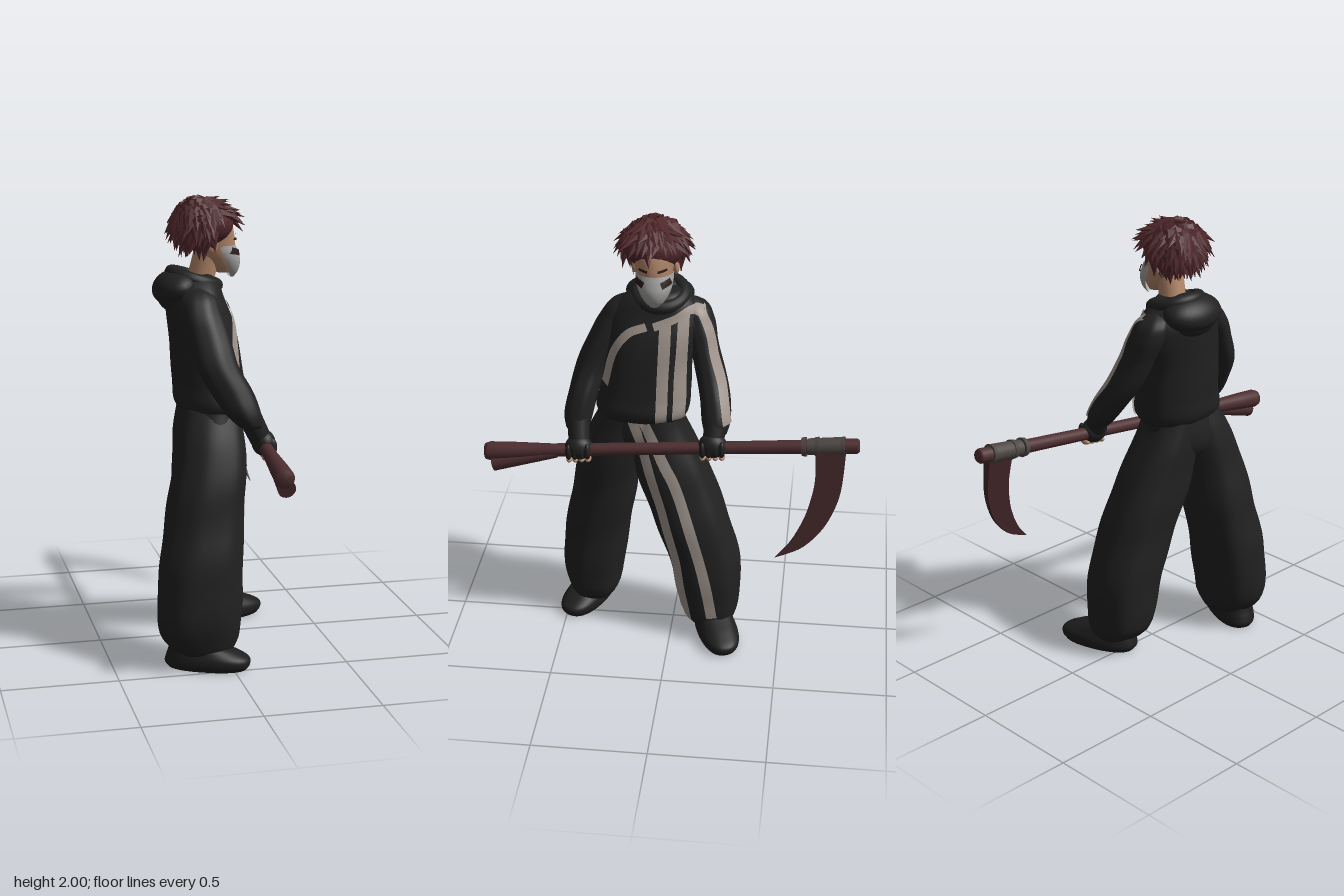
import * as THREE from 'three';

const mat = (name, color, side = THREE.FrontSide, flatShading = false) =>
  Object.assign(new THREE.MeshStandardMaterial({ color, side, flatShading }), { name });
const M = {
  cloth: mat('black cloth', 0x212122),
  shoe: mat('shoe black', 0x1e1e1f),
  stripe: mat('pale stripe', 0xa0958d, THREE.DoubleSide),
  hair: mat('dark red hair', 0x50282b, THREE.FrontSide, true),
  skin: mat('skin', 0xb3876a),
  mask: mat('mask grey', 0xa3a2a0, THREE.DoubleSide),
  ink: mat('dark marking', 0x2a1c1c, THREE.DoubleSide),
  wood: mat('red wood', 0x4e2e30),
  blade: mat('blade red', 0x46282a),
  metal: mat('fitting', 0x4d4643),
};
let seed = 7;
const rnd = () => ((seed = (seed * 16807) % 2147483647) / 2147483647);
const V = (x, y, z) => new THREE.Vector3(x, y, z);
const pow = (v, e) => Math.sign(v) * Math.abs(v) ** e;

// Smooth body of horizontal ovals; rows are [y, cx, cz, rx, rz], lowest first.
// An exponent e below 1 makes the ovals squarer.
class Loft {
  constructor(rows, fold = 0, e = 1) {
    this.lo = rows[0][0];
    this.hi = rows[rows.length - 1][0];
    this.fold = fold;
    this.e = e;
    this.curve = new THREE.CubicInterpolant(rows.map(r => r[0]), rows.flatMap(r => r.slice(1)), 4);
  }
  at(y, a, grow = 0) {
    const [cx, cz, rx, rz] = this.curve.evaluate(y);
    const k = 1 + this.fold * Math.sin(a * 4 + y * 13) * Math.sin(a * 3 - y * 9);
    return V(cx + (rx * k + grow) * pow(Math.cos(a), this.e), y, cz + (rz * k + grow) * pow(Math.sin(a), this.e));
  }
  // Point on the front (+x) side at a given height and z, null where it misses
  front(y, z, clamp) {
    const yy = Math.min(this.hi, Math.max(this.lo, y));
    const [, cz, , rz] = this.curve.evaluate(yy);
    const s = (z - cz) / rz;
    if (!clamp && (yy !== y || Math.abs(s) > 0.98)) return null;
    return this.at(yy, Math.asin(pow(Math.max(-0.98, Math.min(0.98, s)), 1 / this.e)), 0.007);
  }
  geometry(arc = Math.PI, n = 48, m = 36) {
    const pos = [], idx = [], full = arc === Math.PI, w = full ? n : n + 1;
    for (let j = 0; j <= m; j++)
      for (let i = 0; i < w; i++)
        pos.push(...this.at(this.lo + (this.hi - this.lo) * j / m, -arc + 2 * arc * i / n).toArray());
    for (let j = 0; j < m; j++)
      for (let i = 0; i < n; i++) {
        const a = j * w + i, b = j * w + (i + 1) % w;
        idx.push(a, a + w, b, a + w, b + w, b);
      }
    if (full) for (const [j, y] of [[0, this.lo], [m, this.hi]]) {
      const [cx, cz] = this.curve.evaluate(y), c = pos.length / 3;
      pos.push(cx, y, cz);
      for (let i = 0; i < n; i++) {
        const a = j * w + i, b = j * w + (i + 1) % w;
        idx.push(c, ...(j ? [b, a] : [a, b]));
      }
    }
    return finish(pos, idx);
  }
}
function finish(pos, idx) {
  const g = new THREE.BufferGeometry();
  g.setAttribute('position', new THREE.Float32BufferAttribute(pos, 3));
  g.setIndex(idx);
  g.computeVertexNormals();
  return g;
}
// Band lying on the front of the given lofts along [y, z] points
function band(lofts, pts, width) {
  const c = new THREE.CatmullRomCurve3(pts.map(p => V(0, p[0], p[1]))), pos = [], idx = [], n = 60, k = 4;
  for (let i = 0; i <= n; i++) {
    const p = c.getPointAt(i / n), t = c.getTangentAt(i / n);
    for (let j = 0; j <= k; j++) {
      const d = width * (j / k - 0.5), y = p.y - t.z * d, z = p.z + t.y * d;
      const hits = lofts.map(l => l.front(y, z)).filter(Boolean).sort((a, b) => b.x - a.x);
      pos.push(...(hits[0] || lofts[0].front(y, z, true)).toArray());
      if (i < n && j < k) {
        const a = i * (k + 1) + j;
        idx.push(a, a + 1, a + k + 1, a + 1, a + k + 2, a + k + 1);
      }
    }
  }
  return finish(pos, idx);
}

export function createModel() {
  const model = new THREE.Group();
  const add = (name, geo, material, parent = model) => {
    const m = new THREE.Mesh(geo, material);
    m.name = name;
    parent.add(m);
    return m;
  };
  const blob = (name, material, p, s) => {
    const m = add(name, new THREE.SphereGeometry(1, 28, 20), material);
    m.position.set(...p);
    m.scale.set(...s);
    return m;
  };
  // Tapered round bar between two points
  const bar = (name, material, a, b, r0, r1) => {
    const m = add(name, new THREE.CylinderGeometry(r1, r0, a.distanceTo(b), 18), material);
    m.position.copy(a).lerp(b, 0.5);
    m.quaternion.setFromUnitVectors(V(0, 1, 0), b.clone().sub(a).normalize());
    return m;
  };

  // Clothes
  const torso = new Loft([[1.08, -.03, .135, .13, .19], [1.11, -.025, .135, .152, .205], [1.2, -.03, .125, .152, .2],
    [1.35, -.045, .11, .145, .195], [1.48, -.065, .09, .135, .205], [1.56, -.08, .08, .12, .195],
    [1.62, -.08, .07, .1, .145], [1.66, -.085, .065, .075, .09]], .02, .9);
  const rightArm = new Loft([[1.05, .09, .41, .05, .052], [1.09, .065, .41, .07, .062], [1.2, .01, .39, .09, .066],
    [1.3, -.04, .36, .09, .07], [1.42, -.07, .305, .09, .075], [1.52, -.09, .255, .085, .075],
    [1.59, -.09, .215, .06, .055], [1.615, -.09, .2, .02, .02]], .04);
  const leftArm = new Loft([[1.08, .13, -.2, .045, .05], [1.12, .11, -.2, .065, .062], [1.2, .06, -.19, .08, .066],
    [1.3, 0, -.165, .085, .065], [1.42, -.05, -.13, .085, .062], [1.52, -.08, -.1, .085, .07],
    [1.59, -.09, -.075, .06, .055], [1.615, -.09, -.06, .02, .02]], .04);
  const rightLeg = new Loft([[.07, -.11, .39, .12, .1], [.12, -.12, .385, .16, .12], [.2, -.13, .385, .178, .137],
    [.4, -.12, .37, .18, .148], [.6, -.1, .335, .17, .148], [.8, -.07, .302, .16, .14],
    [.95, -.05, .265, .148, .13], [1.06, -.04, .23, .13, .11], [1.12, -.03, .21, .12, .1]], .03, .88);
  const leftLeg = new Loft([[.06, .06, -.18, .09, .095], [.1, .04, -.178, .13, .118], [.2, .025, -.173, .15, .14],
    [.4, .02, -.14, .155, .16], [.6, .01, -.073, .155, .165], [.8, -.01, 0, .15, .165],
    [.95, -.025, .05, .14, .14], [1.06, -.03, .085, .13, .125], [1.12, -.03, .1, .125, .12]], .03, .8);
  const hips = new Loft([[.85, -.05, .165, .05, .05], [.95, -.045, .165, .125, .18], [1.12, -.03, .14, .13, .19]]);
  for (const [name, l] of Object.entries({ torso, rightArm, leftArm, rightLeg, leftLeg, hips }))
    add(name, l.geometry(), M.cloth);

  // Stripes on jacket and trousers
  const jacket = [torso, leftArm, rightArm];
  for (const [name, lofts, pts, w] of [
    ['chestStripe', jacket, [[1.1, .045], [1.3, .038], [1.55, .03]], .048],
    ['chestStripe', jacket, [[1.1, -.025], [1.3, -.033], [1.58, -.045]], .048],
    ['rightYokeStripe', jacket, [[1.53, .11], [1.5, .18], [1.42, .24], [1.25, .29]], .033],
    ['leftYokeStripe', jacket, [[1.53, .08], [1.56, 0], [1.59, -.07], [1.575, -.125]], .033],
    ['sleeveStripe', [leftArm], [[1.59, -.11], [1.5, -.15], [1.4, -.175], [1.28, -.215], [1.13, -.245]], .03],
    ['trouserStripe', [leftLeg, hips], [[1.1, .17], [.9, .105], [.8, .075], [.5, -.01], [.25, -.055], [.08, -.085]], .043],
    ['trouserStripe', [leftLeg, hips], [[1.1, .125], [.9, .03], [.8, -.02], [.5, -.115], [.3, -.165], [.12, -.195]], .047],
  ]) add(name, band(lofts, pts, w), M.stripe);

  // Hood draped over the back, with its collar lower at the front
  blob('hood', M.cloth, [-.165, 1.602, .075], [.1, .075, .15]).rotation.z = .35;
  blob('hoodPoint', M.cloth, [-.18, 1.56, .08], [.06, .06, .11]);
  const collar = add('hoodCollar', new THREE.TorusGeometry(.1, .03, 16, 40), M.cloth);
  collar.rotation.set(Math.PI / 2, -.3, 0);
  collar.position.set(-.08, 1.634, .062);

  // Shoes
  const shoe = new Loft([[0, 0, 0, .17, .08], [.02, 0, 0, .185, .09], [.05, 0, 0, .18, .09],
    [.08, -.025, 0, .145, .08], [.12, -.07, 0, .09, .07], [.17, -.085, 0, .07, .06]], 0, .85).geometry();
  for (const [name, x, z, turn] of [['rightShoe', -.1, .415, -.4], ['leftShoe', .125, -.215, .33]]) {
    const s = add(name, shoe, M.shoe);
    s.position.set(x, 0, z);
    s.rotation.y = turn;
  }

  // Head, mask and face
  bar('neck', M.skin, V(-.06, 1.6, .07), V(-.02, 1.78, .082), .06, .055);
  const head = new Loft([[1.66, .05, .073, .03, .03], [1.69, .035, .073, .06, .05], [1.74, .01, .078, .085, .07],
    [1.8, -.005, .08, .1, .083], [1.88, -.02, .085, .095, .095], [1.94, -.04, .085, .07, .07]]);
  add('head', head.geometry(), M.skin);
  const mask = new Loft([[1.64, .075, .072, .018, .02], [1.665, .066, .072, .045, .045], [1.71, .05, .073, .07, .07],
    [1.75, .03, .075, .08, .08], [1.78, .018, .076, .079, .08]]);
  add('mask', mask.geometry(1.65), M.mask);
  for (const s of [-1, 1]) {
    const c = .077;
    add('maskPatch', band([mask], [[1.747, c + s * .035], [1.76, c + s * .07]], .028), M.ink);
    add('eye', band([head], [[1.803, c + s * .02], [1.809, c + s * .055]], .011), M.ink);
    add('eyebrow', band([head], [[1.824, c + s * .012], [1.838, c + s * .06]], .01), M.hair);
    blob('ear', M.skin, [-.025, 1.785, c + s * .088], [.026, .036, .014]);
  }

  // Hair: a cap covered with overlapping tufts swept down from the crown
  const hc = V(-.045, 1.872, .085), hs = V(.13, .103, .134);
  blob('hairCap', M.hair, hc.toArray(), hs.toArray());
  const tuft = new THREE.ConeGeometry(.032, .1, 5).translate(0, .03, 0).scale(1, 1, .55);
  const hair = new THREE.Group();
  hair.name = 'hairTufts';
  model.add(hair);
  for (let i = 0; i < 230; i++) {
    const y = .99 - 1.8 * (i + .5) / 230, r = Math.sqrt(1 - y * y), a = i * 2.39996;
    const n = V(r * Math.cos(a), y, r * Math.sin(a));
    if (n.x > .2 && y < (Math.abs(n.z) < .15 ? .12 : .3)) continue;
    const dir = V(n.x * y, -r, n.z * y).add(V(.3 * y, 0, 0)).normalize()
      .multiplyScalar(.85).addScaledVector(n, n.x > .3 ? .5 : y > .6 ? .25 : .36)
      .add(V(rnd() - .5, (rnd() - .5) * .6, rnd() - .5).multiplyScalar(.6)).normalize();
    const side = dir.clone().cross(n).normalize(), out = side.clone().cross(dir);
    const t = add('tuft', tuft, M.hair, hair);
    t.position.copy(n).multiply(hs).add(hc);
    t.quaternion.setFromRotationMatrix(new THREE.Matrix4().makeBasis(side, dir, out));
    t.scale.setScalar(.7 + rnd() * .3);
  }

  // Scythe shaft with a flared, split butt
  const butt = V(.13, .92, .82), tip = V(.203, 1.09, -.82);
  const on = z => butt.clone().lerp(tip, (.82 - z) / 1.64);
  const L = butt.distanceTo(tip);
  const profile = [[0, 0], [.036, 0], [.042, .02], [.039, .12], [.029, .3], [.027, .9], [.03, 1.4], [.033, L - .01], [.026, L], [0, L]];
  const shaft = add('scytheShaft', new THREE.LatheGeometry(profile.map(p => new THREE.Vector2(...p)), 20), M.wood);
  shaft.position.copy(butt);
  shaft.quaternion.setFromUnitVectors(V(0, 1, 0), tip.clone().sub(butt).normalize());
  bar('buttFork', M.wood, V(.15, .942, .5), V(.145, .872, .785), .022, .038);

  // Fittings that hold the blade
  bar('bladeSocket', M.metal, on(-.6), on(-.76), .036, .041);
  for (const z of [-.575, -.63, -.74]) bar('socketRing', M.metal, on(z), on(z - .02), .04, .043);

  // Curved blade, thinning and leaning outward toward its tip
  const outline = new THREE.Shape();
  outline.moveTo(.635, 1.08);
  outline.lineTo(.765, 1.08);
  outline.splineThru([[.752, .9], [.72, .79], [.67, .7], [.59, .62], [.48, .57]].map(p => new THREE.Vector2(...p)));
  outline.splineThru([[.54, .64], [.585, .72], [.615, .8], [.638, .92], [.635, 1.08]].map(p => new THREE.Vector2(...p)));
  const blade = new THREE.ExtrudeGeometry(outline, { depth: .036, bevelEnabled: false, curveSegments: 10 });
  blade.translate(0, 0, -.018).rotateY(Math.PI / 2);
  const bp = blade.attributes.position;
  for (let i = 0; i < bp.count; i++) {
    const y = bp.getY(i);
    bp.setX(i, bp.getX(i) * Math.max(.15, (y - .5) / .5) + .21 + (1.08 - y) * .2);
  }
  blade.computeVertexNormals();
  add('scytheBlade', blade, M.blade);

  // Gloved hands gripping the shaft, with bare fingertips
  for (const [side, z, wrist] of [['right', .4, V(.08, 1.1, .41)], ['left', -.19, V(.12, 1.13, -.2)]]) {
    const p = on(z);
    bar(side + 'Cuff', M.cloth, wrist, p.clone().add(V(-.01, .02, 0)), .05, .046);
    blob(side + 'Glove', M.cloth, [p.x - .002, p.y + .012, p.z], [.05, .056, .062]);
    for (let i = 0; i < 4; i++) {
      const q = on(z + (i - 1.5) * .028);
      blob(side + 'Finger', M.cloth, [q.x + .028, q.y + .004, q.z], [.02, .038, .015]);
      blob(side + 'Fingertip', M.skin, [q.x + .008, q.y - .041, q.z], [.025, .013, .014]);
    }
  }
  return model;
}
